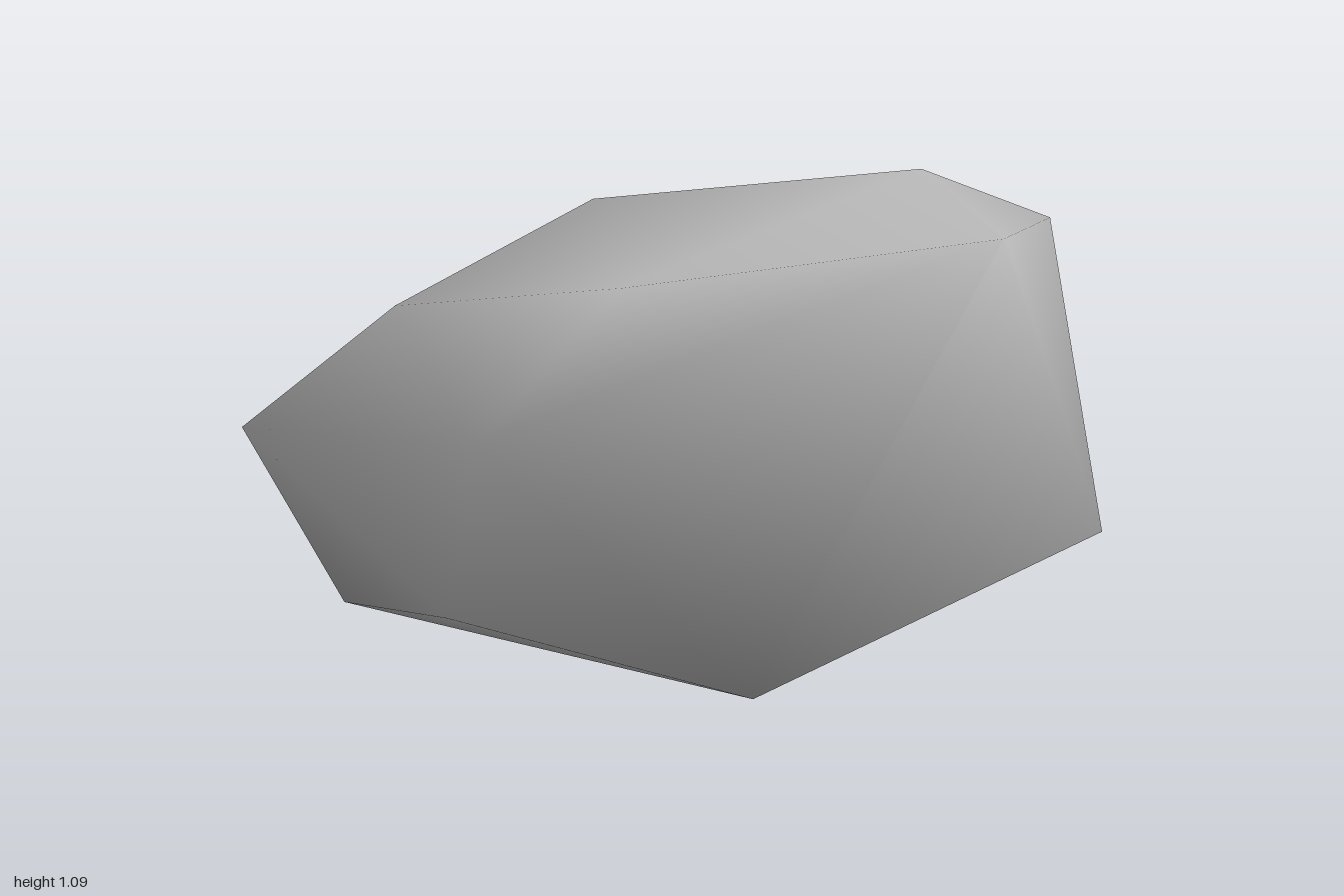
import * as THREE from 'three';
import { ConvexGeometry } from 'three/addons/geometries/ConvexGeometry.js';
import { mergeVertices } from 'three/addons/utils/BufferGeometryUtils.js';

// Corner points of the boulder, by region
const corners = [
  // base ring
  [-0.83, 0.06, -1.0], [0.13, 0.0, -0.91], [0.93, 0.05, -0.5], [0.935, 0.03, 0.18],
  [0.08, 0.015, 0.88], [-0.76, 0.01, -0.05],
  // waist
  [-0.94, 0.25, -0.97], [0.84, 0.58, -0.64], [0.88, 0.4, 0.99], [-0.6, 0.19, 0.66],
  [-0.53, 0.6, 0.65],
  // crown
  [-0.61, 0.78, -0.07], [0.03, 0.925, -0.68], [0.78, 1.08, -0.07],
  [0.83, 1.09, 0.72], [0.65, 1.08, 0.9], [-0.17, 0.94, 0.59],
];

export function createModel() {
  const group = new THREE.Group();
  group.name = 'boulder';
  const stone = new THREE.MeshStandardMaterial({ color: 0xbfbfbf });
  stone.name = 'stone grey';

  // Convex shell with shared corners, shaded smoothly across every edge
  const shell = new ConvexGeometry(corners.map((c) => new THREE.Vector3(...c)));
  shell.deleteAttribute('normal');
  const geometry = mergeVertices(shell);
  geometry.computeVertexNormals();

  const rock = new THREE.Mesh(geometry, stone);
  rock.name = 'rock';
  group.add(rock);
  return group;
}
